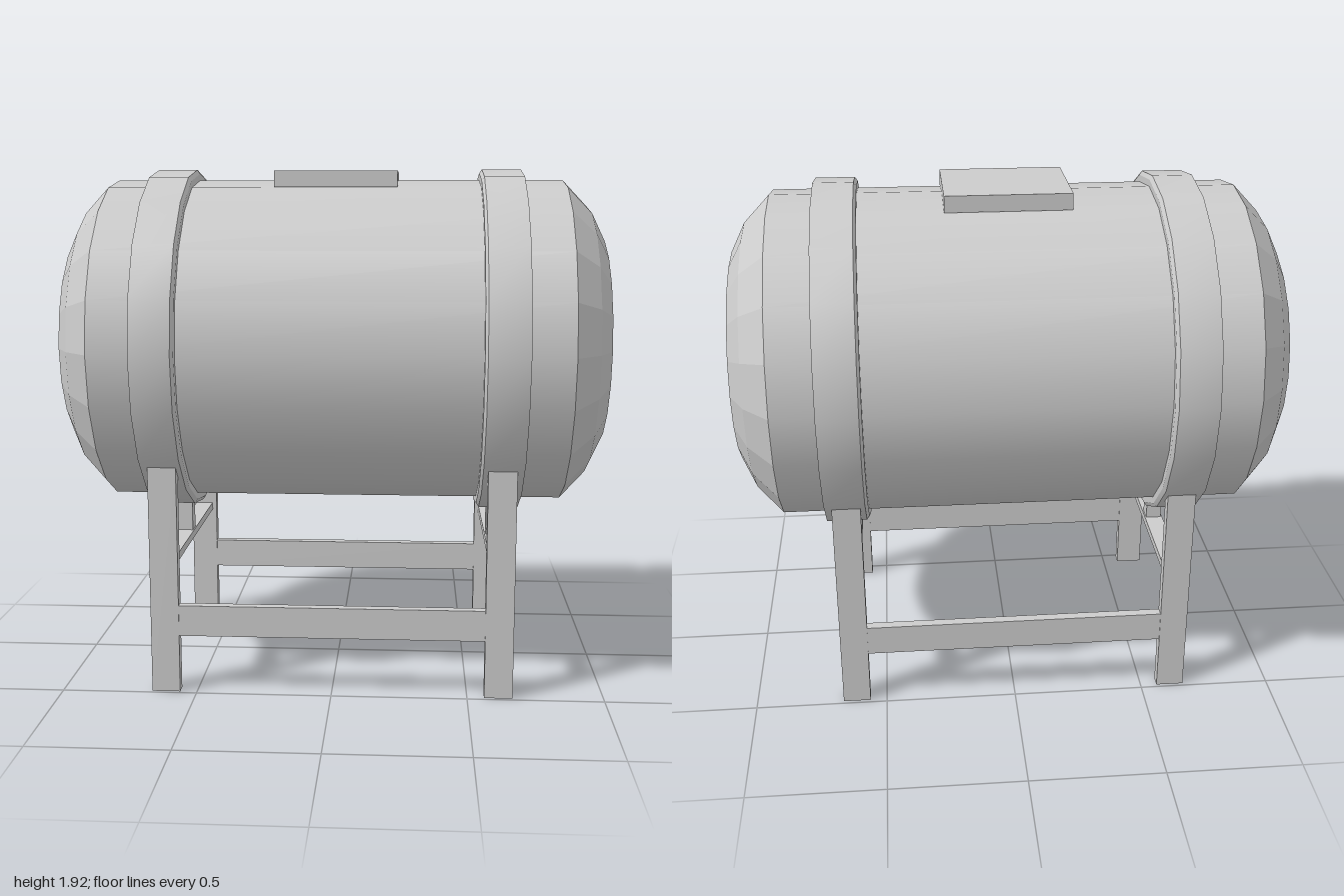
import * as THREE from 'three';
import { toCreasedNormals } from 'three/addons/utils/BufferGeometryUtils.js';

const SIDES = 20;
const AXIS_Y = 1.27;

export function createModel() {
  const model = new THREE.Group();
  const smooth = new THREE.MeshStandardMaterial({ color: 0xcccccc });
  const faceted = new THREE.MeshStandardMaterial({ color: 0xcccccc, flatShading: true });

  function add(name, geometry, material = faceted) {
    const mesh = new THREE.Mesh(geometry, material);
    mesh.name = name;
    model.add(mesh);
    return mesh;
  }

  // Box given by its min and max corners
  function box(name, [x0, y0, z0], [x1, y1, z1]) {
    const mesh = add(name, new THREE.BoxGeometry(x1 - x0, y1 - y0, z1 - z0));
    mesh.position.set((x0 + x1) / 2, (y0 + y1) / 2, (z0 + z1) / 2);
  }

  // Profile of [radius, x] pairs turned around the barrel's x axis
  function turned(profile) {
    const points = profile.map(([r, x]) => new THREE.Vector2(r, x));
    return new THREE.LatheGeometry(points, SIDES).rotateZ(-Math.PI / 2);
  }

  // Barrel wall
  add('barrelWall', turned([[0.61, -0.85], [0.61, 0.85]]), smooth).position.y = AXIS_Y;

  for (const side of [1, -1]) {
    const label = side > 0 ? 'left' : 'right';
    const turn = side > 0 ? 0 : Math.PI;

    // Faceted end cap with a flat disc
    const cap = turned([[0.61, 0.85], [0.51, 0.945], [0.4, 1], [0, 1]]);
    add(label + 'EndCap', cap.rotateY(turn)).position.y = AXIS_Y;

    // Hoop with a small bevel on its inner edge
    const hoop = turned([[0.6, 0.535], [0.635, 0.535], [0.65, 0.545], [0.65, 0.692], [0.6, 0.692]]);
    add(label + 'Hoop', toCreasedNormals(hoop.rotateY(turn), 0.4), smooth).position.y = AXIS_Y;

    // Legs under each hoop
    const x = side * 0.615;
    for (const z of [0.466, -0.466]) {
      box(label + (z > 0 ? 'FrontLeg' : 'BackLeg'), [x - 0.052, 0, z - 0.021], [x + 0.052, 0.85, z + 0.021]);
    }

    // Cross bar and the short post carrying the barrel
    box(label + 'CrossBar', [x - 0.035, 0.47, -0.45], [x + 0.035, 0.5, 0.45]);
    box(label + 'SupportPost', [x - 0.03, 0.49, -0.03], [x + 0.03, 0.68, 0.03]);
  }

  // Long rails between the legs
  for (const z of [0.466, -0.466]) {
    box(z > 0 ? 'frontRail' : 'backRail', [-0.57, 0.215, z - 0.018], [0.57, 0.33, z + 0.018]);
  }

  // Hatch plate on top
  box('hatch', [-0.228, 1.852, -0.192], [0.228, 1.912, 0.192]);

  return model;
}
